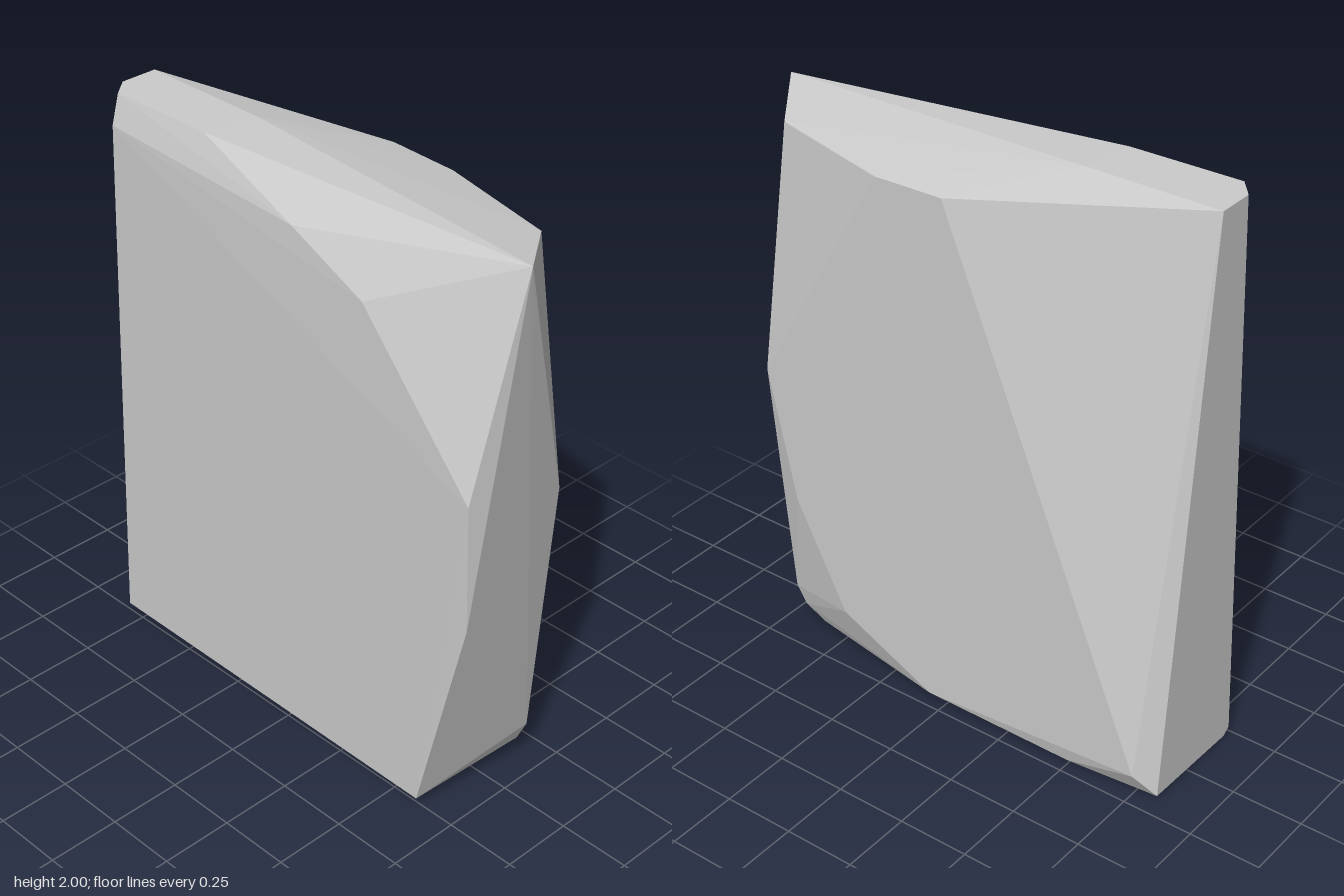
import * as THREE from 'three';
import { ConvexGeometry } from 'three/addons/geometries/ConvexGeometry.js';

// Corner points of the faceted slab, grouped by region.
const corners = {
  front: [
    [-0.825, 0.02, 0.245], [0.61, 0.03, 0.265], [0.8, 0.8, 0.265], [0.79, 1.24, 0.265],
    [0.34, 1.73, 0.252], [0.04, 1.86, 0.245], [-0.77, 1.9, 0.243],
  ],
  top: [
    [-0.825, 2, 0.02], [-0.825, 2, 0.15], [-0.77, 2, 0.215], [-0.38, 2, 0.207],
    [-0.35, 2, 0.02], [0.82, 1.965, 0.07], [0.65, 1.925, -0.157], [0.58, 1.92, -0.175],
    [0.2, 1.915, -0.268], [-0.05, 1.92, -0.27],
  ],
  back: [
    [0.72, 1.05, -0.22], [0.61, 0.58, -0.224], [0.42, 0.2, -0.22],
    [0.06, 0.03, -0.222], [-0.76, 0.09, -0.225],
  ],
  base: [
    [0.7, 0.15, -0.15], [0.67, 0.08, -0.14], [0.6, 0.03, -0.13], [0.5, 0.005, -0.1],
    [0.5, 0.005, 0.22], [-0.825, 0, 0.215], [-0.825, 0.01, -0.175], [-0.5, 0.015, -0.21],
  ],
};

export function createModel() {
  const group = new THREE.Group();
  group.name = 'stoneSlab';

  // One solid block of stone with flat, chipped faces
  const points = Object.values(corners).flat().map((p) => new THREE.Vector3(...p));
  const slab = new THREE.Mesh(
    new ConvexGeometry(points),
    new THREE.MeshStandardMaterial({ color: 0xcccccc, flatShading: true }),
  );
  slab.name = 'slab';
  group.add(slab);
  return group;
}
